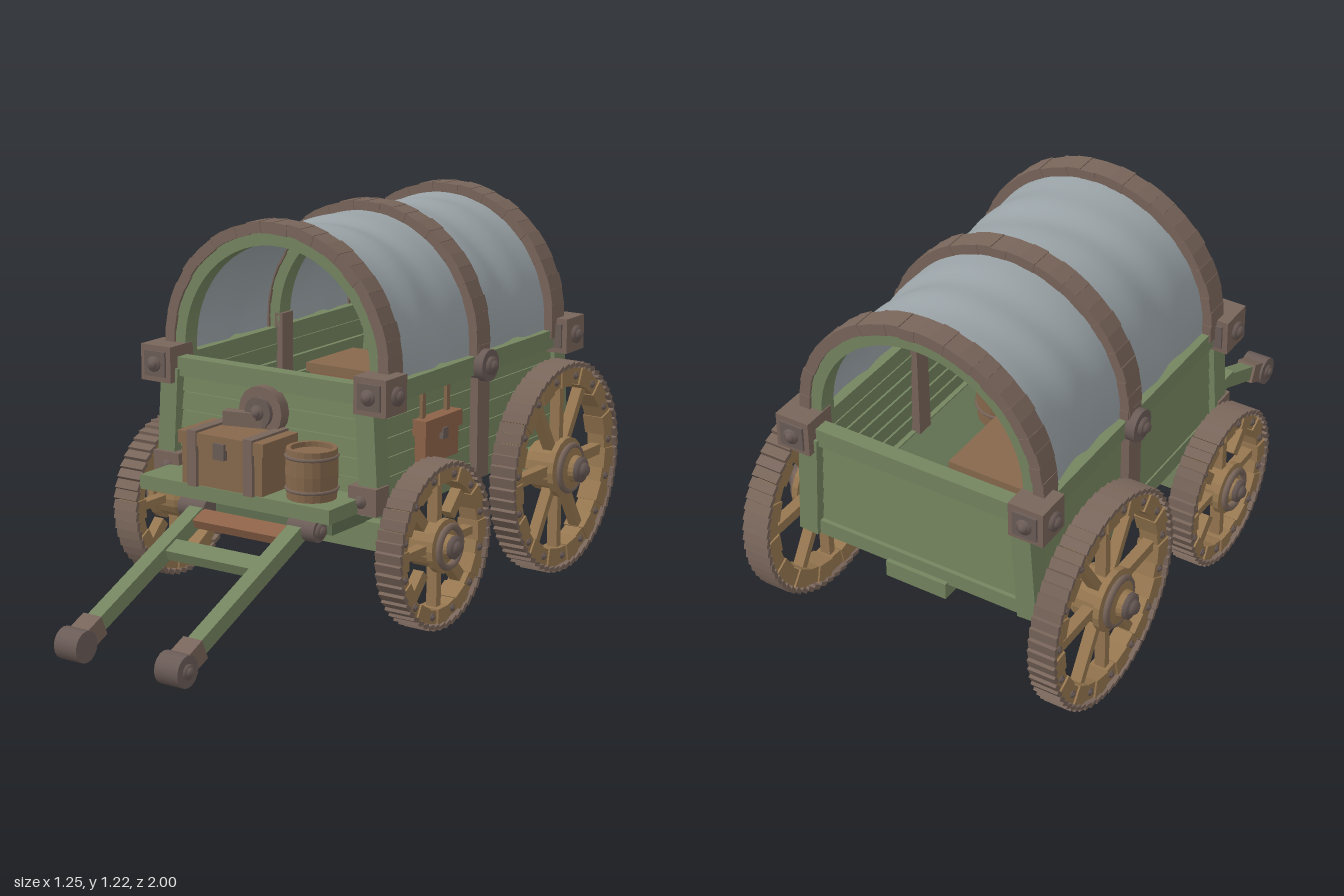
import * as THREE from 'three';

const mat = (color, extra = {}) => new THREE.MeshStandardMaterial({ color, ...extra });
const GREEN = mat(0x74845f), DKGREEN = mat(0x5f6e50), BROWN = mat(0x78655a), METAL = mat(0x6b5c57);
const TAN = mat(0x967750), LEATHER = mat(0x86684c), RED = mat(0x8d6248);
const CLOTH = mat(0x9aa3a7, { side: THREE.DoubleSide });

function add(parent, name, geo, material, x = 0, y = 0, z = 0, rx = 0, ry = 0, rz = 0) {
  const m = new THREE.Mesh(geo, material);
  m.name = name;
  m.position.set(x, y, z);
  m.rotation.set(rx, ry, rz);
  parent.add(m);
  return m;
}
const box = (p, name, material, w, h, d, ...t) => add(p, name, new THREE.BoxGeometry(w, h, d), material, ...t);
const cyl = (p, name, material, r, len, ...t) => add(p, name, new THREE.CylinderGeometry(r, r, len, 16), material, ...t);
const H = Math.PI / 2;

// Domed bolt pointing along +y before rotation
function bolt(p, r, ...t) {
  const pts = [[0, 0.5], [0.4, 0.45], [0.6, 0.2], [0.62, 0], [1, 0], [1, -0.5]].map(a => new THREE.Vector2(a[0] * r, a[1] * r));
  return add(p, 'bolt', new THREE.LatheGeometry(pts.reverse(), 12), METAL, ...t);
}

// Wheel about the x axis, outer side towards +x
function wheel(name, R, rimIn, hubR, hubOut, n, spokes) {
  const g = new THREE.Group();
  g.name = name;
  const rimOut = R - 0.022, mid = (rimIn + rimOut) / 2, step = Math.PI * 2 / n;
  for (let i = 0; i < n; i++) {
    const a = i * step, odd = i % 2;
    const seg = new THREE.Group();
    seg.rotation.x = a;
    g.add(seg);
    box(seg, 'rimSegment', TAN, odd ? 0.062 : 0.074, rimOut - rimIn - odd * 0.008, mid * step * 1.06, 0, mid, 0);
    // tilted tread plates, two per rim block
    for (const k of [-0.25, 0.25]) {
      const t = box(seg, 'treadPlate', BROWN, 0.09, 0.014, mid * step * 0.52, 0, (rimOut + 0.006) * Math.cos(k * step), rimOut * Math.sin(k * step));
      t.rotation.x = k * step + 0.28;
    }
    if (odd) bolt(seg, 0.012, 0.035, mid, 0, 0, 0, -H);
  }
  for (const [deg, w, r0, r1] of spokes) {
    const s = new THREE.Group();
    s.rotation.x = deg * Math.PI / 180;
    g.add(s);
    box(s, 'spoke', TAN, 0.036, r1 - r0, w, 0, (r0 + r1) / 2, 0);
  }
  const prof = [[0, -0.07], [0.75, -0.07], [0.85, -0.05], [0.85, 0.02], [1, 0.025], [1, 0.045], [0.72, 0.05], [0.68, hubOut - 0.035], [0.45, hubOut - 0.03], [0.42, hubOut - 0.012], [0, hubOut]]
    .map(a => new THREE.Vector2(a[0] * hubR, a[1]));
  add(g, 'hub', new THREE.LatheGeometry(prof, 18), mat(0x967750, { flatShading: true }), 0, 0, 0, 0, 0, -H);
  add(g, 'hubRing', new THREE.TorusGeometry(hubR * 0.74, 0.011, 6, 20), BROWN, 0.056, 0, 0, 0, H);
  bolt(g, hubR * 0.42, hubOut, 0, 0, 0, 0, -H);
  return g;
}

// Half ring of angle span 0..PI, extruded along z
function halfRing(r0, r1, depth) {
  const s = new THREE.Shape();
  s.absarc(0, 0, r1, 0, Math.PI, false);
  s.absarc(0, 0, r0, Math.PI, 0, true);
  return new THREE.ExtrudeGeometry(s, { depth, bevelEnabled: false, curveSegments: 28 }).translate(0, 0, -depth / 2);
}

export function createModel() {
  const root = new THREE.Group();
  root.name = 'coveredWagon';
  const AY = 0.805, RIBS = [0.18, -0.325, -0.797];

  // Wheels and axles
  const frontSpokes = [], rearSpokes = [];
  for (let i = 0; i < 8; i++) frontSpokes.push(i % 2 ? [i * 45, 0.036, 0.105, 0.19] : [i * 45, 0.026, 0.05, 0.21]);
  for (const d of [90, 270]) rearSpokes.push([d, 0.034, 0.05, 0.28]);
  for (const d of [-32, 0, 32, 148, 180, 212]) rearSpokes.push([d, 0.026, 0.05, 0.28]);
  for (const s of [1, -1]) {
    const f = wheel('frontWheel', 0.267, 0.195, 0.085, 0.078, 24, frontSpokes);
    f.position.set(s * 0.497, 0.268, 0.08);
    const b = wheel('rearWheel', 0.352, 0.268, 0.1, 0.1, 30, rearSpokes);
    b.position.set(s * 0.503, 0.354, -0.65);
    if (s < 0) f.rotation.y = b.rotation.y = Math.PI;
    root.add(f, b);
  }
  box(root, 'frontAxle', GREEN, 0.9, 0.09, 0.1, 0, 0.27, 0.08);
  box(root, 'rearAxle', GREEN, 0.9, 0.09, 0.1, 0, 0.355, -0.65);
  box(root, 'frontBolster', DKGREEN, 0.56, 0.075, 0.34, 0, 0.35, 0.14);
  box(root, 'underBeam', DKGREEN, 0.22, 0.06, 0.95, 0, 0.355, -0.28);
  box(root, 'rearStep', GREEN, 0.21, 0.055, 0.18, 0, 0.357, -0.79);

  // Wagon bed: floor, sills, slatted walls and rails
  box(root, 'floor', DKGREEN, 0.76, 0.04, 1.08, 0, 0.4, -0.3);
  for (let i = 0; i < 5; i++) {
    const y = 0.45 + i * 0.06, tilt = 0.1;
    for (const s of [1, -1]) box(root, 'sideSlat', GREEN, 0.028, 0.056, 1.06, s * (0.378 - i * 0.002), y, -0.3, 0, 0, s * tilt);
    box(root, 'frontSlat', GREEN, 0.7, 0.056, 0.028, 0, y, 0.222, -tilt);
    box(root, 'rearSlat', GREEN, 0.7, 0.056, 0.028, 0, y, -0.835, tilt);
  }
  for (const s of [1, -1]) {
    box(root, 'sideSill', GREEN, 0.05, 0.06, 1.06, s * 0.375, 0.395, -0.3);
    box(root, 'sideRail', GREEN, 0.055, 0.06, 1.05, s * 0.385, 0.742, -0.3);
    for (const [z, dir] of [[0.235, 1], [-0.845, -1]]) {
      box(root, 'cornerPost', GREEN, 0.065, 0.36, 0.07, s * 0.375, 0.56, z, 0, 0, s * 0.06);
      // upper corner bracket with bolts
      box(root, 'cornerBracket', BROWN, 0.115, 0.115, 0.115, s * 0.4, 0.752, z);
      box(root, 'bracketPlate', METAL, 0.08, 0.08, 0.13, s * 0.4, 0.752, z);
      bolt(root, 0.025, s * 0.4, 0.752, z + dir * 0.07, dir * H);
      bolt(root, 0.03, s * 0.467, 0.752, z, 0, 0, -s * H);
    }
    // lower front bracket
    box(root, 'lowerBracket', BROWN, 0.1, 0.085, 0.07, s * 0.37, 0.428, 0.25);
    bolt(root, 0.02, s * 0.365, 0.425, 0.29, H);
    // centre strap
    box(root, 'sideStrap', BROWN, 0.028, 0.43, 0.07, s * 0.407, 0.59, RIBS[1]);
    box(root, 'innerPost', BROWN, 0.03, 0.4, 0.06, s * 0.35, 0.62, RIBS[1]);
    cyl(root, 'strapBoss', METAL, 0.052, 0.05, s * 0.42, 0.74, RIBS[1], 0, 0, H);
    bolt(root, 0.03, s * 0.455, 0.74, RIBS[1], 0, 0, -s * H);
  }
  box(root, 'frontRail', GREEN, 0.68, 0.06, 0.05, 0, 0.745, 0.235);
  box(root, 'rearRail', GREEN, 0.68, 0.06, 0.05, 0, 0.745, -0.845);
  box(root, 'rearSill', GREEN, 0.74, 0.05, 0.05, 0, 0.4, -0.84);

  // Roof ribs: green hoop under a band of short blocks
  const N = 26;
  for (const z of RIBS) {
    const rib = new THREE.Group();
    rib.name = 'roofRib';
    rib.position.set(0, AY, z);
    root.add(rib);
    add(rib, 'hoop', halfRing(0.346, 0.386, 0.06), GREEN);
    for (let i = 0; i < N; i++) {
      const a = (i + 0.5) * Math.PI / N, r = 0.4 + (i % 3) * 0.0015;
      box(rib, 'bandBlock', BROWN, 0.036, 0.4 * Math.PI / N * 1.04, 0.08 - (i % 2) * 0.004, r * Math.cos(a), r * Math.sin(a), 0, 0, 0, a);
    }
    for (const s of [1, -1]) {
      box(rib, 'bandFoot', BROWN, 0.036, 0.06, 0.08, s * 0.4, -0.03, 0);
      box(rib, 'hoopFoot', GREEN, 0.04, 0.06, 0.06, s * 0.366, -0.03, 0);
    }
  }

  // Canvas cover: plane wrapped over the ribs, rippled between them
  const canvas = new THREE.PlaneGeometry(1, 1, 48, 48), P = canvas.attributes.position;
  for (let i = 0; i < P.count; i++) {
    const u = P.getX(i) + 0.5, v = P.getY(i) + 0.5;
    const z = 0.18 - v * 0.977, bay = Math.sin(v * Math.PI * 2) ** 2;
    const r = 0.389 + bay * (0.005 * Math.sin(u * 17 + v * 9) + 0.006 * Math.sin(v * 31 + u * 4) - 0.005);
    const a = -0.1 + u * (Math.PI + 0.2) + 0;
    const hem = Math.abs(u - 0.5) > 0.48 ? 0.012 * bay * Math.sin(v * 26) : 0;
    const x = a < 0 || a > Math.PI ? Math.sign(Math.cos(a)) * r : r * Math.cos(a);
    P.setXYZ(i, x, AY + r * Math.sin(a) + hem, z);
  }
  canvas.computeVertexNormals();
  add(root, 'canvasCover', canvas, CLOTH);

  // Driver's platform with trunk, bucket and brake wheel
  box(root, 'platform', GREEN, 0.71, 0.045, 0.2, 0, 0.41, 0.335);
  const trunk = new THREE.Group();
  trunk.name = 'trunk';
  trunk.position.set(-0.037, 0.43, 0.355);
  root.add(trunk);
  box(trunk, 'trunkBody', LEATHER, 0.3, 0.13, 0.165, 0, 0.07, 0);
  box(trunk, 'trunkLid', LEATHER, 0.32, 0.04, 0.18, 0, 0.15, 0);
  for (const x of [-0.105, 0.105]) box(trunk, 'trunkStrap', BROWN, 0.034, 0.175, 0.19, x, 0.09, 0);
  box(trunk, 'clasp', METAL, 0.042, 0.05, 0.02, 0, 0.125, 0.09);
  function bucket(name, x, y, z, r, h) {
    const p = [[0, 0], [0.94, 0], [1, 0.5], [0.97, 1], [0.8, 1], [0.8, 0.9], [0, 0.9]].map(a => new THREE.Vector2(a[0] * r, a[1] * h));
    add(root, name, new THREE.LatheGeometry(p, 20), mat(0x86684c, { flatShading: true }), x, y, z);
    for (const k of [0.2, 0.85]) add(root, name + 'Hoop', new THREE.TorusGeometry(r * 0.975, 0.006, 5, 20), BROWN, x, y + k * h, z, H);
  }
  bucket('bucket', 0.228, 0.432, 0.342, 0.08, 0.155);
  cyl(root, 'brakeWheel', BROWN, 0.08, 0.04, 0, 0.652, 0.27, H);
  cyl(root, 'brakeHub', METAL, 0.048, 0.06, 0, 0.652, 0.275, H);
  bolt(root, 0.024, 0, 0.652, 0.31, H);
  box(root, 'brakeHandle', BROWN, 0.14, 0.045, 0.04, -0.045, 0.627, 0.3, 0, 0.25, 0);

  // Towing shafts
  const dy = 0.27, dz = 0.615, len = Math.hypot(dy, dz), ang = Math.atan2(dy, dz);
  for (const s of [1, -1]) {
    const shaft = new THREE.Group();
    shaft.name = 'towShaft';
    shaft.position.set(s * 0.186, 0.33, 0.34);
    shaft.rotation.x = ang;
    root.add(shaft);
    box(shaft, 'shaftBar', GREEN, 0.05, 0.05, len, 0, 0, len / 2);
    box(shaft, 'shaftSleeve', BROWN, 0.068, 0.066, 0.08, 0, 0, len - 0.06);
    cyl(shaft, 'shaftEnd', METAL, 0.049, 0.084, 0, 0, len, 0, 0, H);
    bolt(shaft, 0.024, s * 0.047, 0, len, 0, 0, -s * H);
    cyl(shaft, 'shaftPivot', METAL, 0.036, 0.1, s * 0.02, 0, 0, 0, 0, H);
    bolt(shaft, 0.026, s * 0.078, 0, 0, 0, 0, -s * H);
    box(root, 'shaftHanger', GREEN, 0.055, 0.09, 0.06, s * 0.186, 0.36, 0.32);
  }
  box(root, 'shaftBoard', RED, 0.34, 0.03, 0.06, 0, 0.313, 0.39, ang);
  box(root, 'shaftCrossbar', GREEN, 0.34, 0.035, 0.06, 0, 0.247, 0.525, ang);

  // Saddlebag hung on the left wall
  const bag = new THREE.Group();
  bag.name = 'saddlebag';
  bag.position.set(0.405, 0.56, -0.07);
  root.add(bag);
  box(bag, 'bagBody', RED, 0.045, 0.12, 0.19, 0, -0.01, 0);
  box(bag, 'bagFlap', RED, 0.055, 0.05, 0.21, 0.003, 0.045, 0);
  for (const z of [-0.07, 0.07]) box(bag, 'bagStrap', LEATHER, 0.012, 0.1, 0.018, -0.005, 0.11, z);
  box(bag, 'bagBuckle', METAL, 0.016, 0.035, 0.03, 0.028, 0.015, 0);

  // Cargo inside
  box(root, 'crate', RED, 0.3, 0.2, 0.26, -0.14, 0.52, -0.52);
  box(root, 'crateLid', LEATHER, 0.32, 0.03, 0.28, -0.14, 0.63, -0.52);
  bucket('cargoBarrel', 0.16, 0.42, -0.12, 0.1, 0.24);
  return root;
}
